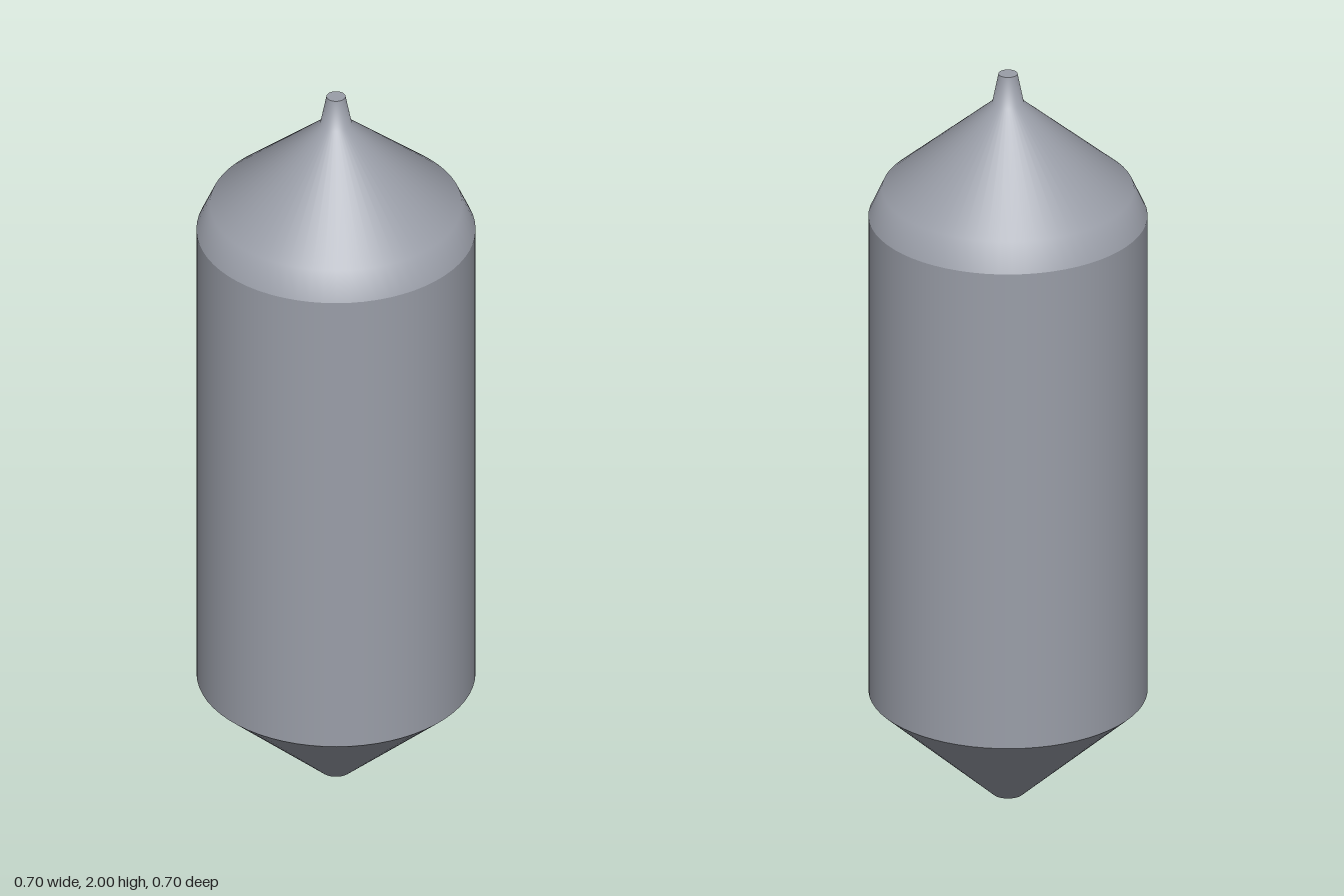
import * as THREE from 'three';

const SEGMENTS = 64;

export function createModel() {
  const model = new THREE.Group();
  const steel = new THREE.MeshStandardMaterial({ color: 0x9a9ea8 });
  steel.name = 'steel grey';

  // Adds one revolved part; profile runs upward as [radius, y]
  const addLathe = (name, profile) => {
    const points = profile.map(([r, y]) => new THREE.Vector2(r, y));
    const mesh = new THREE.Mesh(new THREE.LatheGeometry(points, SEGMENTS), steel);
    mesh.name = name;
    model.add(mesh);
  };

  // Adds a flat round end; dir is 1 to face up, -1 to face down
  const addDisc = (name, radius, y, dir) => {
    const mesh = new THREE.Mesh(new THREE.CircleGeometry(radius, SEGMENTS), steel);
    mesh.name = name;
    mesh.rotation.x = -dir * Math.PI / 2;
    mesh.position.y = y;
    model.add(mesh);
  };

  // Separate lathes keep the rims of the body sharp
  addLathe('bottomCone', [[0.04, 0], [0.352, 0.285]]);
  addLathe('body', [[0.352, 0.285], [0.352, 1.605]]);
  // Shoulder, upper cone and neck share smooth normals
  addLathe('shoulderAndNeck', [[0.352, 1.605], [0.318, 1.68], [0.04, 1.92], [0.024, 2]]);

  // Closed ends
  addDisc('bottomEnd', 0.04, 0, -1);
  addDisc('neckEnd', 0.024, 2, 1);

  return model;
}
